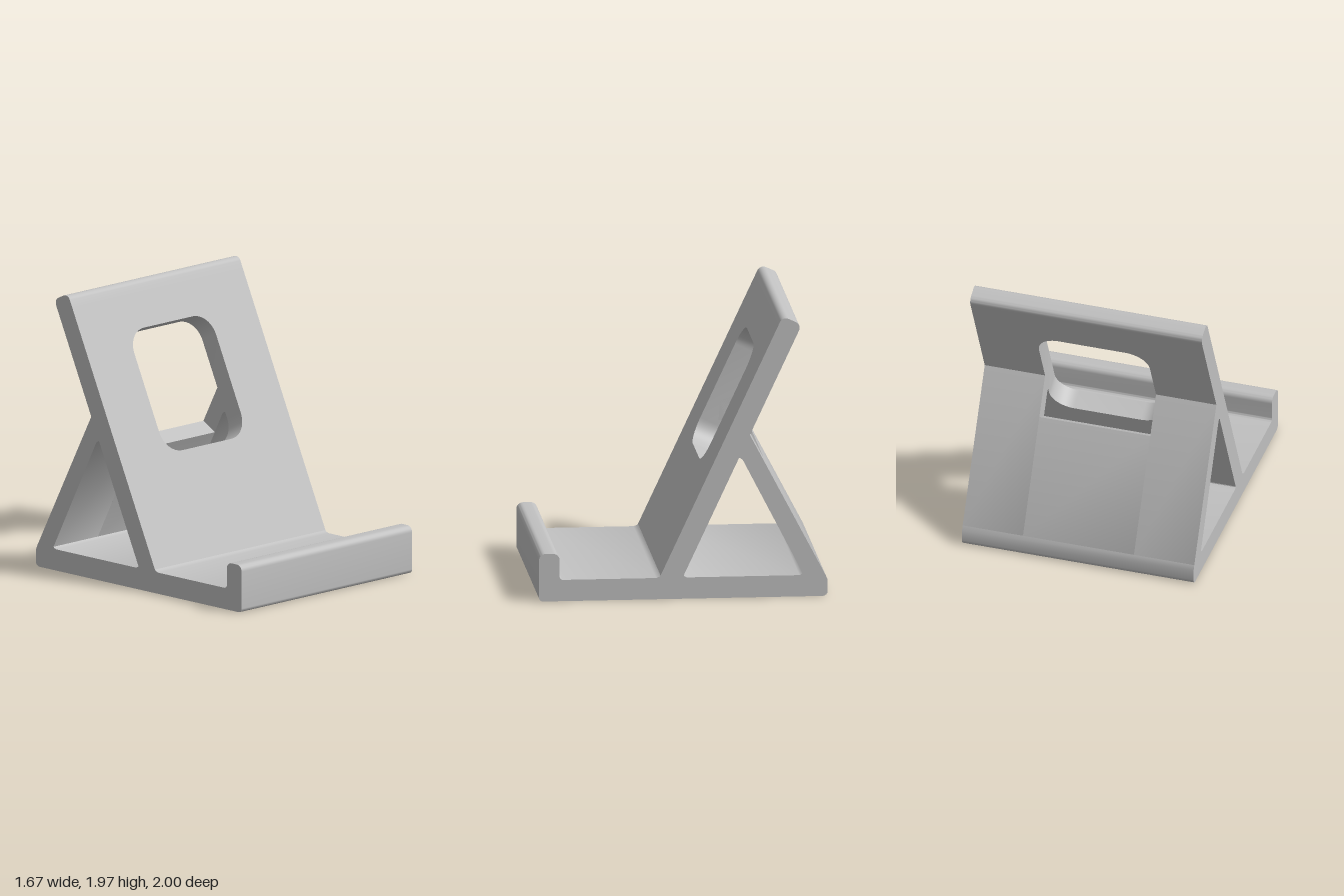
import * as THREE from 'three';
import { toCreasedNormals } from 'three/addons/utils/BufferGeometryUtils.js';

const HALF = 0.835;      // half width of the stand
const TILT = THREE.MathUtils.degToRad(25);
const THICK = 0.146;     // back rest thickness
const WIN = 0.4;         // half width of the window

// Closed outline from [a, b, radius] points, with optional rounded corners
function outline(points, Type = THREE.Shape) {
  const path = new Type();
  const n = points.length;
  const v = points.map(([a, b]) => new THREE.Vector2(a, b));
  points.forEach(([, , r = 0], i) => {
    const p = v[i];
    const toward = (q) => q.clone().sub(p).setLength(r).add(p);
    const start = r ? toward(v[(i + n - 1) % n]) : p;
    if (i === 0) path.moveTo(start.x, start.y);
    else path.lineTo(start.x, start.y);
    if (r) {
      const end = toward(v[(i + 1) % n]);
      const k = 0.552;
      const c1 = start.clone().lerp(p, k), c2 = end.clone().lerp(p, k);
      path.bezierCurveTo(c1.x, c1.y, c2.x, c2.y, end.x, end.y);
    }
  });
  path.closePath();
  return path;
}

// Side profile in (z, y), extruded across x from x0 to x1
function bar(points, x0, x1) {
  const geo = new THREE.ExtrudeGeometry(outline(points), {
    depth: x1 - x0, bevelEnabled: false, curveSegments: 8,
  });
  geo.rotateY(-Math.PI / 2);
  geo.translate(x1, 0, 0);
  return geo;
}

export function createModel() {
  const group = new THREE.Group();
  const grey = new THREE.MeshStandardMaterial({ color: 0xc0c0c0 });
  grey.name = 'light grey';

  const add = (name, geo, parent = group) => {
    const mesh = new THREE.Mesh(toCreasedNormals(geo, 0.6), grey);
    mesh.name = name;
    parent.add(mesh);
  };

  // Base plate with front lip and small fillets where the supports meet it
  add('base', bar([
    [1, 0, 0.03], [1, 0.335, 0.045], [0.857, 0.335, 0.045], [0.857, 0.15, 0.025],
    [0.19, 0.15], [0.165, 0.158], [0.145, 0.18], [0, 0.18], [-0.005, 0.16], [-0.025, 0.15],
    [-0.805, 0.15], [-0.825, 0.16], [-0.838, 0.18],
    [-0.985, 0.15], [-1, 0.115], [-1, 0, 0.035],
  ], -HALF, HALF));

  // Leaning back rest, built upright and then tilted
  const rest = new THREE.Group();
  rest.name = 'backRest';
  rest.position.set(0, 0.15, 0.165);
  rest.rotation.x = -TILT;
  group.add(rest);

  const panel = outline([[-HALF, -0.06], [HALF, -0.06], [HALF, 1.92], [-HALF, 1.92]]);
  const [low, high, r] = [0.783, 1.672, 0.16];
  panel.holes.push(outline(
    [[-WIN, low, r], [-WIN, high, r], [WIN, high, r], [WIN, low, r]], THREE.Path));
  const panelGeo = new THREE.ExtrudeGeometry(panel, {
    depth: THICK, bevelEnabled: false, curveSegments: 12,
  });
  panelGeo.translate(0, 0, -THICK);
  add('backRestPanel', panelGeo, rest);
  add('backRestTopEdge', bar([
    [0, 1.92], [0, 2.02, 0.045], [-THICK, 2.02, 0.045], [-THICK, 1.92],
  ], -HALF, HALF), rest);

  // Rear strut: full height at both sides, cut away behind the window
  const side = [
    [-0.985, 0.14], [-0.985, 0.15], [-0.46, 1.15], [-0.37, 1.12],
    [-0.36, 0.985], [-0.395, 0.985], [-0.412, 0.972], [-0.83, 0.16], [-0.83, 0.14],
  ];
  add('leftStrut', bar(side, WIN, HALF));
  add('rightStrut', bar(side, -HALF, -WIN));
  add('middleStrut', bar([
    [-0.985, 0.14], [-0.985, 0.15], [-0.597, 0.889], [-0.487, 0.826],
    [-0.83, 0.16], [-0.83, 0.14],
  ], -WIN, WIN));

  return group;
}
